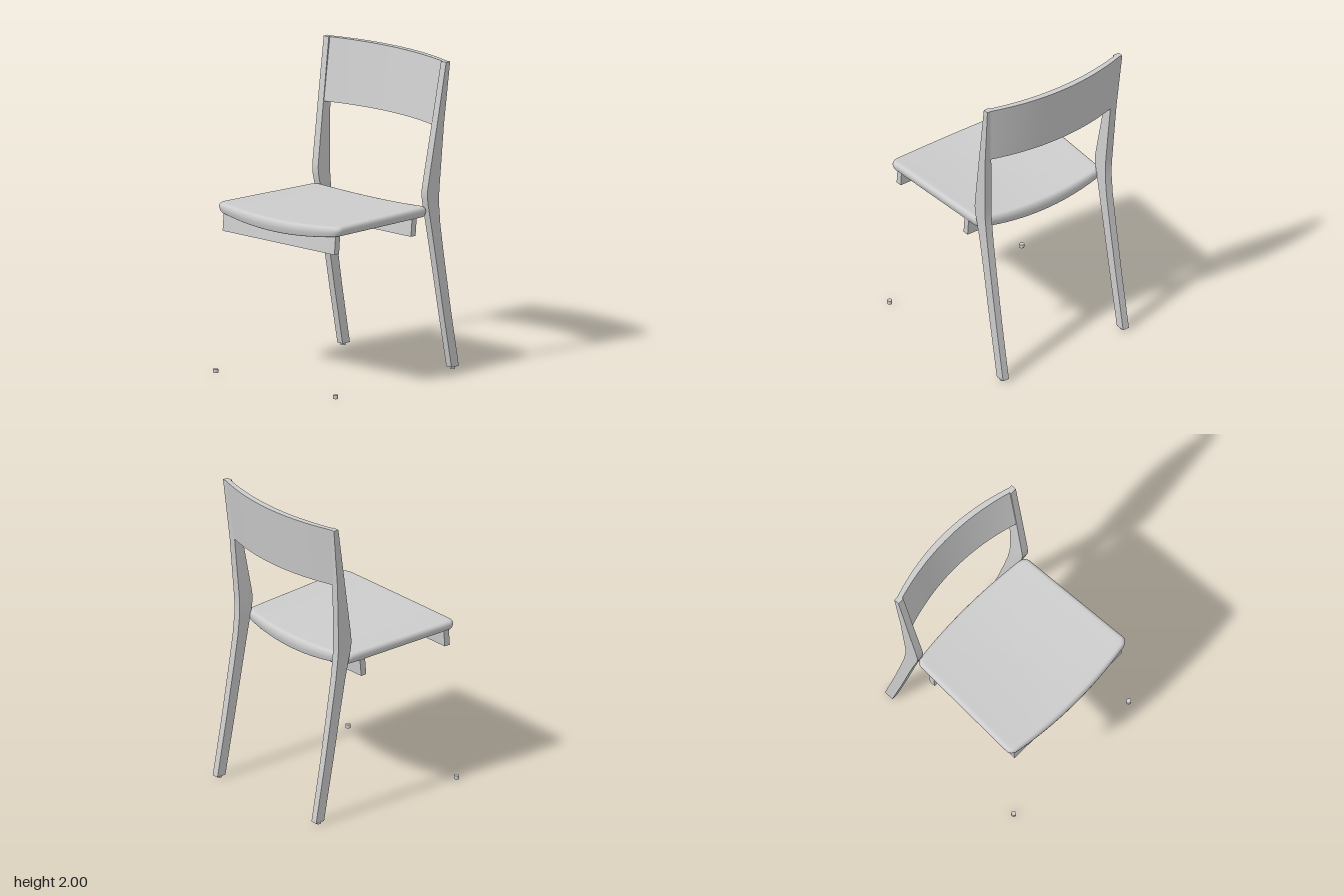
import * as THREE from 'three';

const lerp = THREE.MathUtils.lerp;

// Moves every vertex of a unit box (coordinates -0.5..0.5) by a rule.
function warpedBox(nx, ny, nz, rule) {
  const g = new THREE.BoxGeometry(1, 1, 1, nx, ny, nz);
  const p = g.attributes.position;
  for (let i = 0; i < p.count; i++) p.setXYZ(i, ...rule(p.getX(i), p.getY(i), p.getZ(i)));
  g.computeVertexNormals();
  return g;
}

// Seat surfaces in seat coordinates u (across) and v (back to front), each -1..1.
const seatTop = (u, v) => 1.1 - 0.025 * (1 - u * u) - 0.006 * (1 - v);
const seatBottom = (u, v) => 1.04 - 0.047 * (1 - u * u) - 0.008 * (1 - v);

function seatGeometry() {
  // Rounded square outline.
  const outline = [];
  const r = 0.09, perSide = 16, perCorner = 6;
  const corners = [[1, 1], [-1, 1], [-1, -1], [1, -1]];
  corners.forEach(([cx, cy], k) => {
    for (let i = 0; i <= perCorner; i++) {
      const a = (k + i / perCorner) * Math.PI / 2;
      outline.push([cx * (1 - r) + r * Math.cos(a), cy * (1 - r) + r * Math.sin(a)]);
    }
    const [ax, ay] = outline[outline.length - 1];
    const [nx, ny] = corners[(k + 1) % 4];
    const a = (k + 1) * Math.PI / 2;
    const bx = nx * (1 - r) + r * Math.cos(a), by = ny * (1 - r) + r * Math.sin(a);
    for (let i = 1; i < perSide; i++) outline.push([lerp(ax, bx, i / perSide), lerp(ay, by, i / perSide)]);
  });
  // Rings [scale, height through the thickness] from under the middle, round the rim, to the top middle.
  const rings = [
    [0.001, 0], [0.25, 0], [0.5, 0], [0.75, 0], [0.95, 0], [0.97, 0], [0.98, 0.03], [0.988, 0.12],
    [0.998, 0.4], [1, 0.55], [0.996, 0.72], [0.985, 0.87], [0.967, 0.97], [0.945, 1], [0.9, 1],
    [0.75, 1], [0.5, 1], [0.25, 1], [0.001, 1],
  ];
  const pos = [], idx = [], n = outline.length;
  for (const [s, t] of rings) {
    for (const [a, b] of outline) {
      const u = a * s, v = b * s;
      pos.push(u * (0.51 + 0.02 * v), lerp(seatBottom(u, v), seatTop(u, v), t),
        0.1165 + v * (0.4685 - 0.04 * u * u));
    }
  }
  for (let k = 0; k < rings.length - 1; k++) {
    for (let i = 0; i < n; i++) {
      const j = (i + 1) % n;
      const a = k * n + i, b = k * n + j, c = a + n, d = b + n;
      idx.push(a, c, b, b, c, d);
    }
  }
  const g = new THREE.BufferGeometry();
  g.setAttribute('position', new THREE.Float32BufferAttribute(pos, 3));
  g.setIndex(idx);
  g.computeVertexNormals();
  return g;
}

// Leg cross-sections: height, front z, back z, inner x, outer x.
const legRows = [
  [0.015, -0.517, -0.583, 0.45, 0.495],
  [0.4, -0.441, -0.51, 0.448, 0.494],
  [0.75, -0.376, -0.45, 0.445, 0.493],
  [0.95, -0.337, -0.418, 0.444, 0.493],
  [1.08, -0.308, -0.404, 0.445, 0.495],
  [1.14, -0.296, -0.401, 0.447, 0.498],
  [1.19, -0.294, -0.402, 0.449, 0.5],
  [1.25, -0.303, -0.405, 0.452, 0.503],
  [1.6, -0.3625, -0.425, 0.469, 0.517],
  [2, -0.43, -0.467, 0.487, 0.531],
];

function legGeometry(side) {
  const last = legRows.length - 1;
  return warpedBox(1, last, 1, (x, y, z) => {
    const [h, front, back, inner, outer] = legRows[Math.round((y + 0.5) * last)];
    return [side * (inner + outer) / 2 + x * (outer - inner), h, lerp(back, front, z + 0.5)];
  });
}

// Curved back panel, bowed backwards and leaning.
function backrestGeometry() {
  return warpedBox(32, 4, 1, (x, y, z) => {
    const u = x * 2, t = y + 0.5;
    const front = lerp(-0.44, -0.51, t) + 0.075 * u * u;
    const back = lerp(-0.5, -0.55, t) + lerp(0.075, 0.083, t) * u * u;
    return [u * lerp(0.475, 0.505, t), lerp(1.6, 2, t), z > 0 ? front : back];
  });
}

// Cross rail whose upper edge follows the underside of the seat.
function railGeometry(zMid, v) {
  return warpedBox(24, 1, 1, (x, y, z) => {
    const px = x * 0.97;
    const top = seatBottom(px / (0.51 + 0.02 * v), v) + 0.002;
    return [px, y > 0 ? top : 0.915, zMid + z * 0.042 - y * 0.01];
  });
}

export function createModel() {
  const group = new THREE.Group();
  const paint = new THREE.MeshStandardMaterial({ color: 0xcccccc });
  paint.name = 'light grey';
  const add = (name, geometry) => {
    const mesh = new THREE.Mesh(geometry, paint);
    mesh.name = name;
    group.add(mesh);
    return mesh;
  };

  add('seat', seatGeometry());
  add('backrest', backrestGeometry());
  add('frontRail', railGeometry(0.509, 0.85));
  add('rearRail', railGeometry(-0.185, -0.66));

  for (const side of [1, -1]) {
    const label = side > 0 ? 'left' : 'right';
    add(label + 'BackLeg', legGeometry(side));
    // Small round floor glides.
    add(label + 'FrontGlide', new THREE.CylinderGeometry(0.016, 0.016, 0.024, 20))
      .position.set(side * 0.52, 0.012, 0.561);
    add(label + 'RearGlide', new THREE.CylinderGeometry(0.016, 0.016, 0.024, 20))
      .position.set(side * 0.474, 0.012, -0.546);
  }
  return group;
}
